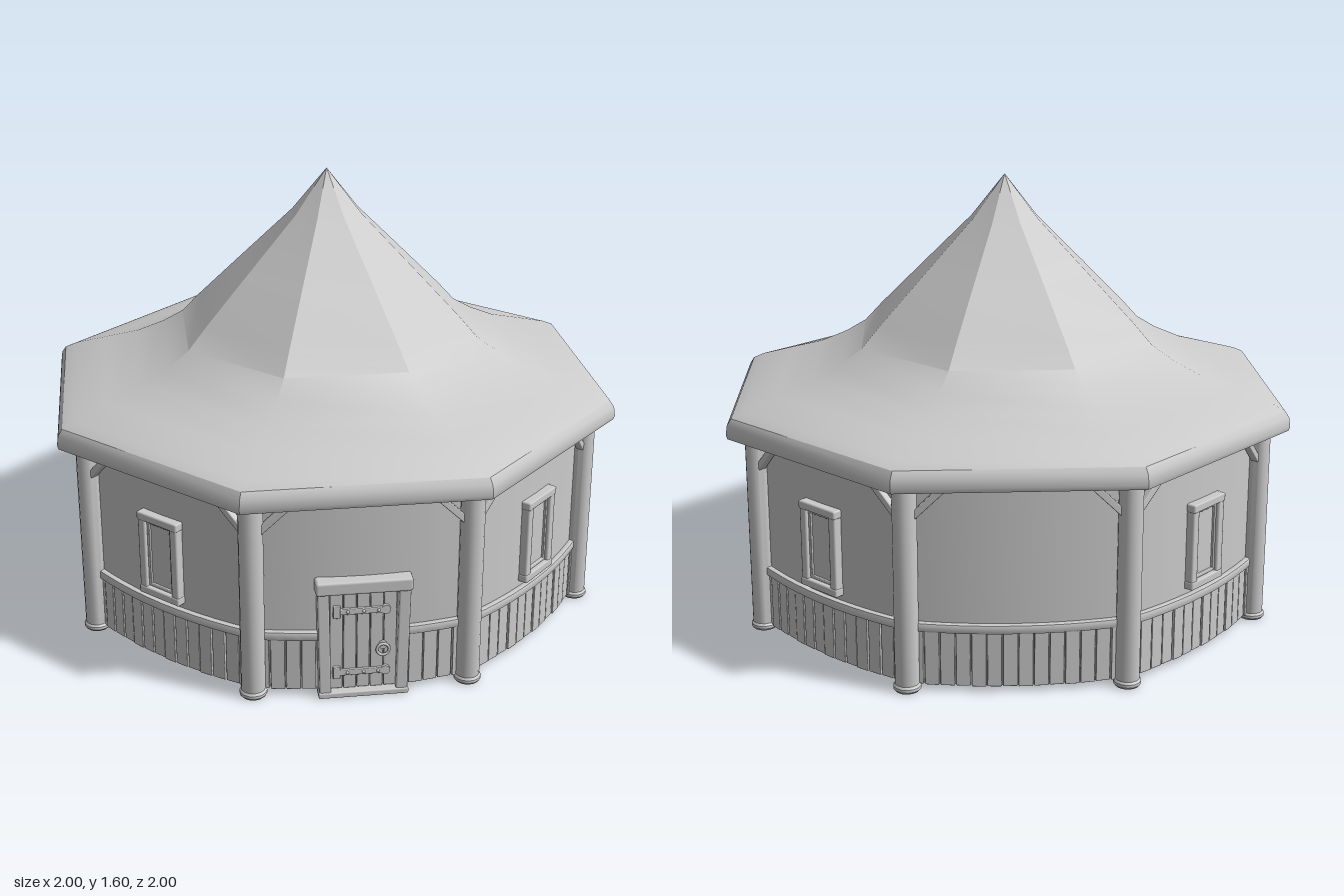
import * as THREE from 'three';
import { toCreasedNormals } from 'three/addons/utils/BufferGeometryUtils.js';
import { RoundedBoxGeometry } from 'three/addons/geometries/RoundedBoxGeometry.js';

const material = new THREE.MeshStandardMaterial({ color: 0xcccccc });
const SIDE = Math.PI / 4;
const HALF = 0.365; // half width of one wall panel

// gently bowed wall: distance from the centre at offset u along a panel
const bow = (u) => 0.925 - 0.32 * u * u;

function add(parent, name, geometry, x = 0, y = 0, z = 0) {
  const mesh = new THREE.Mesh(geometry, material);
  mesh.name = name;
  mesh.position.set(x, y, z);
  parent.add(mesh);
  return mesh;
}

function block(parent, name, w, h, d, x, y, z, r = 0.006) {
  return add(parent, name, new RoundedBoxGeometry(w, h, d, 1, r), x, y, z);
}

// bowed slab between u0 and u1, from inner to outer offset, y0 to y1
function bowedSlab(parent, name, u0, u1, inner, outer, y0, y1, bevel = 0) {
  const shape = new THREE.Shape();
  const n = 10;
  const at = (i) => u0 + ((u1 - u0) * i) / n;
  for (let i = 0; i <= n; i++) {
    const u = at(i);
    if (i === 0) shape.moveTo(u, -bow(u) - outer);
    else shape.lineTo(u, -bow(u) - outer);
  }
  for (let i = n; i >= 0; i--) shape.lineTo(at(i), -bow(at(i)) - inner);
  const geo = new THREE.ExtrudeGeometry(shape, {
    depth: y1 - y0 - 2 * bevel,
    bevelEnabled: bevel > 0,
    bevelThickness: bevel,
    bevelSize: bevel,
    bevelOffset: -bevel,
    bevelSegments: 2,
  });
  geo.rotateX(-Math.PI / 2);
  return add(parent, name, toCreasedNormals(geo, 0.6), 0, y0 + bevel, 0);
}

function buildRoof(parent) {
  // [apothem, height], inside from the peak down, then outside back up
  const profile = [
    [0, 1.55], [0.49, 0.99], [0.58, 0.92], [0.69, 0.875], [0.92, 0.8], [0.955, 0.77], [0.96, 0.735],
    [0.995, 0.735], [1, 0.75], [0.995, 0.785], [0.98, 0.808], [0.94, 0.828], [0.82, 0.867],
    [0.7, 0.905], [0.6, 0.955], [0.525, 1.005], [0.46, 1.08], [0.3, 1.25], [0.12, 1.44], [0, 1.6],
  ].map(([a, y]) => new THREE.Vector2(a / Math.cos(SIDE / 2), y));
  add(parent, 'roof', toCreasedNormals(new THREE.LatheGeometry(profile, 8, SIDE / 2), 0.52));
}

function buildPost(parent) {
  const profile = [
    [0, 0], [0.042, 0], [0.048, 0.008], [0.048, 0.018], [0.042, 0.026], [0.042, 0.76], [0, 0.76],
  ].map(([r, y]) => new THREE.Vector2(r, y));
  add(parent, 'post', toCreasedNormals(new THREE.LatheGeometry(profile, 14), 0.6), 0, 0, 0.972);
}

function buildBraces(panel) {
  for (const s of [-1, 1]) {
    const brace = block(panel, 'brace', 0.175, 0.024, 0.028, s * 0.285, 0.685, bow(0.285) + 0.018, 0.004);
    brace.rotation.set(0, s * 0.17, s * -0.78, 'YXZ');
  }
}

function buildPlanks(panel, gap) {
  const count = 14;
  const pitch = (2 * HALF) / count;
  for (let i = 0; i < count; i++) {
    const u = -HALF + pitch * (i + 0.5);
    if (Math.abs(u) < gap) continue;
    const uneven = 0.002 * ((i * 5) % 3);
    const plank = block(panel, 'plank', pitch - 0.003, 0.2, 0.02, u, 0.12, bow(u) + uneven, 0.003);
    plank.rotation.y = Math.atan(0.64 * u);
  }
  const rails = gap ? [[-HALF, -0.15], [0.15, HALF]] : [[-HALF, HALF]];
  for (const [a, b] of rails) bowedSlab(panel, 'rail', a, b, -0.005, 0.02, 0.213, 0.245, 0.005);
}

function buildWindow(panel) {
  const frame = new THREE.Group();
  frame.name = 'window';
  frame.position.set(0, 0.422, 0.92);
  panel.add(frame);
  for (const s of [-1, 1]) {
    block(frame, 'windowJamb', 0.032, 0.31, 0.066, s * 0.073, 0, 0);
    block(frame, 'windowLintel', 0.182, 0.03, 0.072, 0, s * 0.142, 0);
    block(frame, 'sashSide', 0.012, 0.25, 0.042, s * 0.052, 0, 0, 0.003);
    block(frame, 'sashRail', 0.11, 0.012, 0.042, 0, s * 0.121, 0, 0.003);
  }
  block(frame, 'windowPane', 0.104, 0.25, 0.026, 0, 0, 0, 0.003);
}

function buildDoor(panel) {
  const door = new THREE.Group();
  door.name = 'door';
  door.position.z = 0.922;
  panel.add(door);
  // frame
  for (const s of [-1, 1]) {
    const jamb = block(door, 'doorJamb', 0.04, 0.41, 0.075, s * 0.135, 0.21, 0);
    jamb.rotation.z = s * -0.02;
  }
  block(door, 'doorLintel', 0.33, 0.05, 0.09, 0, 0.422, 0, 0.01);
  block(door, 'threshold', 0.31, 0.022, 0.085, 0, 0.011, 0);
  // boards
  const boards = 5;
  for (let i = 0; i < boards; i++) {
    const x = -0.115 + (0.23 / boards) * (i + 0.5);
    block(door, 'doorBoard', 0.043, 0.375, 0.034 + 0.003 * (i % 2), x, 0.211, 0, 0.004);
  }
  // strap hinges
  for (const y of [0.325, 0.09]) {
    block(door, 'hingeStrap', 0.17, 0.022, 0.012, -0.015, y, 0.022, 0.003);
    block(door, 'hingePlate', 0.025, 0.046, 0.014, -0.092, y, 0.022, 0.003);
    const tip = add(door, 'hingeTip', new THREE.CylinderGeometry(0.017, 0.017, 0.012, 10), 0.075, y, 0.022);
    tip.rotation.x = Math.PI / 2;
    for (const x of [-0.055, 0.0, 0.05]) add(door, 'rivet', new THREE.SphereGeometry(0.006, 8, 6), x, y, 0.028);
  }
  // ring handle
  const plate = add(door, 'handlePlate', new THREE.CylinderGeometry(0.014, 0.014, 0.012, 12), 0.066, 0.188, 0.023);
  plate.rotation.x = Math.PI / 2;
  add(door, 'handleRing', new THREE.TorusGeometry(0.021, 0.005, 8, 20), 0.066, 0.174, 0.03);
  // ledges and diagonal on the inner face
  for (const y of [0.33, 0.09]) block(door, 'innerLedge', 0.22, 0.035, 0.02, 0, y, -0.024, 0.004);
  block(door, 'innerDiagonal', 0.3, 0.03, 0.018, 0, 0.21, -0.024, 0.004).rotation.z = 0.86;
}

export function createModel() {
  const model = new THREE.Group();
  model.name = 'octagonalHut';
  buildRoof(model);

  for (let i = 0; i < 8; i++) {
    const panel = new THREE.Group();
    panel.name = 'wallPanel';
    panel.rotation.y = i * SIDE;
    model.add(panel);

    bowedSlab(panel, 'wall', -HALF, HALF, -0.02, 0, 0.02, 0.79);
    buildPlanks(panel, i === 0 ? 0.14 : 0);
    buildBraces(panel);
    if (i % 2) buildWindow(panel);
    if (i === 0) buildDoor(panel);

    const corner = new THREE.Group();
    corner.name = 'cornerPost';
    corner.rotation.y = (i + 0.5) * SIDE;
    model.add(corner);
    buildPost(corner);
  }
  return model;
}
